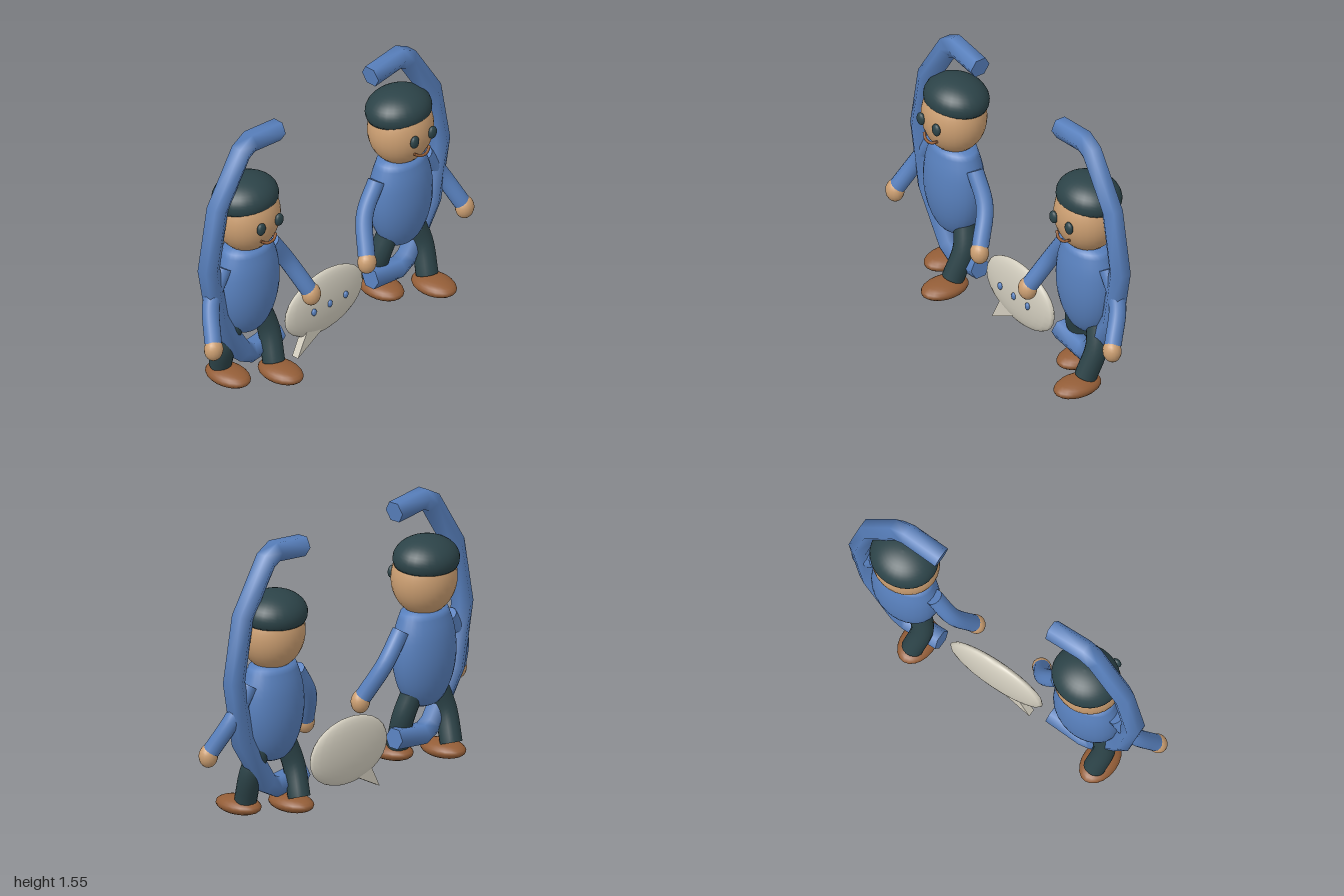
import * as THREE from 'three';

const mat = (name, color, side = THREE.FrontSide) => {
  const m = new THREE.MeshStandardMaterial({ color, side });
  m.name = name;
  return m;
};
const V = (x, y, z) => new THREE.Vector3(x, y, z);
const MID_Z = -0.048;

function add(parent, name, geometry, material, pos = [0, 0, 0]) {
  const mesh = new THREE.Mesh(geometry, material);
  mesh.name = name;
  mesh.position.set(...pos);
  parent.add(mesh);
  return mesh;
}

function ellipsoid(parent, name, material, pos, radii, w = 24, h = 16) {
  return add(parent, name, new THREE.SphereGeometry(1, w, h).scale(...radii), material, pos);
}

// Rounded tube through a few points, with flat end caps
function limb(parent, name, material, pts, r, sides = 16) {
  const curve = new THREE.CatmullRomCurve3(pts);
  add(parent, name, new THREE.TubeGeometry(curve, 12, r, sides), material);
  [0, 1].forEach((t) => {
    const cap = add(parent, name + 'End', new THREE.CircleGeometry(r, sides), material);
    const p = curve.getPoint(t);
    const dir = curve.getTangent(t).multiplyScalar(t ? 1 : -1);
    cap.position.copy(p);
    cap.lookAt(p.clone().add(dir));
  });
}

// Six-sided bar swept along a bent line in the x-y plane, mitred at the corners
function bracketGeometry(pts, r) {
  const pos = [], idx = [], n = 6;
  const dirs = pts.slice(1).map((p, i) => p.clone().sub(pts[i]).normalize());
  const rings = pts.map((p, i) => {
    const a = dirs[Math.max(i - 1, 0)], b = dirs[Math.min(i, dirs.length - 1)];
    const t = a.clone().add(b).normalize();
    const stretch = 1 / t.dot(a);
    return Array.from({ length: n }, (_, k) => {
      const ang = (k / n) * Math.PI * 2;
      const u = Math.sin(ang) * r * stretch;
      return [p.x - t.y * u, p.y + t.x * u, MID_Z + Math.cos(ang) * r];
    });
  });
  rings.forEach((ring) => ring.forEach((v) => pos.push(...v)));
  for (let i = 0; i < pts.length - 1; i++) {
    for (let k = 0; k < n; k++) {
      const a = i * n + k, b = i * n + (k + 1) % n;
      idx.push(a, a + n, b, b, a + n, b + n);
    }
  }
  // End caps with their own vertices
  [rings[0], rings[rings.length - 1]].forEach((ring, end) => {
    const base = pos.length / 3;
    ring.forEach((v) => pos.push(...v));
    for (let k = 1; k < n - 1; k++) {
      if (end) idx.push(base, base + k + 1, base + k);
      else idx.push(base, base + k, base + k + 1);
    }
  });
  const g = new THREE.BufferGeometry();
  g.setAttribute('position', new THREE.Float32BufferAttribute(pos, 3));
  g.setIndex(idx);
  g.computeVertexNormals();
  return g;
}

function makeFigure(m) {
  const fig = new THREE.Group();
  fig.name = 'figure';

  // Egg-shaped torso, flattened front to back
  const profile = new THREE.SplineCurve([[0, 0.355], [0.09, 0.375], [0.15, 0.45], [0.186, 0.55],
    [0.198, 0.66], [0.185, 0.78], [0.148, 0.885]].map((p) => new THREE.Vector2(...p))).getPoints(18);
  profile.push(new THREE.Vector2(0.1, 0.9), new THREE.Vector2(0, 0.905));
  add(fig, 'torso', new THREE.LatheGeometry(profile, 28).scale(1, 1, 0.7), m.blue, [0, 0, MID_Z]);

  // Head and face
  ellipsoid(fig, 'head', m.skin, [0, 1.067, -0.048], [0.184, 0.205, 0.168], 28, 20);
  [-1, 1].forEach((s) =>
    ellipsoid(fig, 'eye', m.dark, [s * 0.067, 1.07, 0.118], [0.029, 0.036, 0.018], 14, 10));
  limb(fig, 'mouth', m.brown,
    [V(-0.056, 0.985, 0.105), V(-0.028, 0.968, 0.118), V(0, 0.965, 0.122), V(0.028, 0.968, 0.118), V(0.056, 0.985, 0.105)],
    0.008, 8);

  // Cap closed underneath
  const dome = Array.from({ length: 15 }, (_, i) => {
    const a = 0.61 * Math.PI * (1 - i / 14);
    return new THREE.Vector2(Math.sin(a), Math.cos(a));
  });
  dome.unshift(new THREE.Vector2(0, dome[0].y));
  const cap = add(fig, 'cap', new THREE.LatheGeometry(dome, 28).scale(0.187, 0.118, 0.167), m.dark, [0, 1.174, -0.063]);
  cap.rotation.x = -0.08;

  // Arms and hands
  [-1, 1].forEach((s) => {
    limb(fig, 'arm', m.blue, [V(s * 0.18, 0.81, -0.05), V(s * 0.285, 0.65, -0.035), V(s * 0.36, 0.47, 0.05)], 0.046);
    ellipsoid(fig, 'hand', m.skin, [s * 0.368, 0.442, 0.062], [0.053, 0.063, 0.049], 16, 12);
  });

  // Legs and shoes in mid-stride
  [[1, 0.04, 0.092], [-1, -0.14, -0.085]].forEach(([s, ankleZ, footZ]) => {
    limb(fig, 'leg', m.dark,
      [V(s * 0.09, 0.45, -0.05), V(s * 0.128, 0.31, MID_Z + (ankleZ - MID_Z) * 0.35), V(s * 0.108, 0.14, ankleZ)], 0.06);
    ellipsoid(fig, 'shoe', m.brown, [s * 0.106, 0.1, footZ], [0.094, 0.047, 0.14], 20, 12);
  });
  return fig;
}

export function createModel() {
  const m = {
    blue: mat('blue cloth', 0x5880bd),
    skin: mat('skin', 0xcc9f72),
    dark: mat('dark teal', 0x2c4348),
    brown: mat('brown leather', 0x935d37),
    cream: mat('cream', 0xd3cebf),
  };
  const model = new THREE.Group();
  model.name = 'twoFiguresInBrackets';

  // Curved bracket: upper half listed, lower half mirrored
  const half = [[0.35, 1.48], [0.56, 1.503], [0.626, 1.468], [0.803, 1.195]];
  const bend = [...half, [0.868, 0.853], ...half.slice().reverse().map(([x, y]) => [x, 1.706 - y])];

  [-1, 1].forEach((s) => {
    const fig = makeFigure(m);
    fig.position.x = s * 0.578;
    model.add(fig);
    add(model, 'bracket', bracketGeometry(bend.map(([x, y]) => V(s * x, y, 0)), 0.06), m.blue);
  });

  // Speech bubble with tail and three dots
  const bubble = new THREE.Group();
  bubble.name = 'speechBubble';
  model.add(bubble);
  ellipsoid(bubble, 'bubble', m.cream, [0, 0.255, -0.05], [0.293, 0.182, 0.045], 20, 14);
  const tail = new THREE.Shape([[-0.22, 0.005], [-0.04, 0.1], [-0.06, 0.16], [-0.14, 0.16]]
    .map((p) => new THREE.Vector2(...p)));
  add(bubble, 'bubbleTail', new THREE.ExtrudeGeometry(tail, { depth: 0.042, bevelEnabled: false }), m.cream, [0, 0, -0.067]);
  [-1, 0, 1].forEach((i) =>
    ellipsoid(bubble, 'dot', m.blue, [i * 0.119, 0.255, -0.004], [0.016, 0.021, 0.012], 12, 8));

  return model;
}
